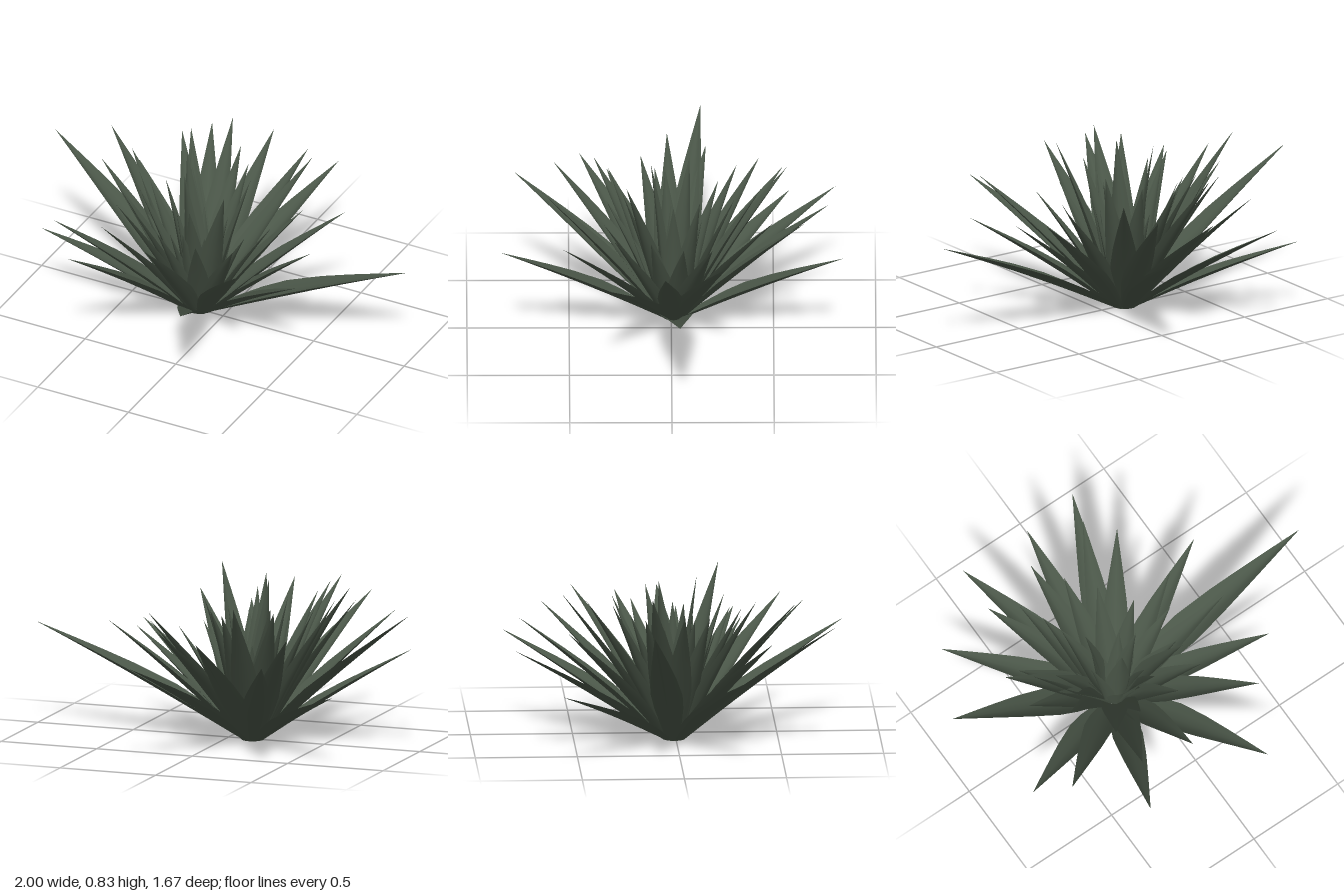
import * as THREE from 'three';

const CX = -0.13, CZ = -0.01, RING = 0.055;

// Leaf tips [x, y, z], outer rosette first
const outerTips = [
  [0.995, 0.515, -0.04], [0.53, 0.60, -0.27], [0.23, 0.70, -0.50], [0.20, 0.485, -0.84],
  [-0.12, 0.615, -0.77], [-0.48, 0.53, -0.805], [-0.24, 0.76, -0.565], [-0.51, 0.62, -0.545],
  [-0.765, 0.36, -0.58], [-1.0, 0.705, -0.145], [-0.69, 0.825, -0.14], [-0.84, 0.44, 0.315],
  [-0.70, 0.60, 0.45], [-0.455, 0.625, 0.77], [-0.37, 0.73, 0.58], [0.20, 0.52, 0.835],
  [-0.105, 0.69, 0.63], [0.355, 0.62, 0.535], [0.57, 0.50, 0.315], [0.13, 0.64, -0.65],
];
const innerTips = [
  [-0.66, 0.73, 0.02], [-0.59, 0.70, -0.17], [0.12, 0.83, 0.22], [-0.245, 0.82, -0.09],
  [-0.16, 0.82, 0.10], [-0.39, 0.74, 0.38], [-0.40, 0.73, -0.43], [-0.13, 0.70, -0.44],
  [-0.02, 0.70, -0.31], [0.08, 0.73, -0.14], [0.34, 0.60, -0.20], [0.50, 0.52, 0.03],
  [0.17, 0.55, 0.10], [0.20, 0.58, 0.28], [-0.06, 0.71, 0.24], [-0.30, 0.72, 0.03],
  [-0.35, 0.70, 0.31], [-0.50, 0.69, 0.15], [-0.29, 0.66, -0.23], [0.0, 0.66, -0.01],
  [-0.42, 0.66, 0.08], [-0.34, 0.72, -0.32], [0.02, 0.58, 0.33], [0.24, 0.55, -0.06],
  [-0.44, 0.62, -0.07], [-0.20, 0.60, 0.32],
];
// Short leaves around the open heart
const youngTips = [
  [-0.12, 0.55, 0.20], [-0.04, 0.50, 0.12], [-0.21, 0.50, 0.16],
  [-0.26, 0.55, 0.0], [-0.18, 0.50, -0.15], [-0.03, 0.50, -0.11],
];

// Outline: [fraction of length, fraction of full half-width]
const outline = [[0, 0.45], [0.1, 0.64], [0.25, 0.92], [0.37, 1], [0.55, 0.8], [0.7, 0.55], [0.85, 0.28], [1, 0]];
const across = [-1, -0.5, 0, 0.5, 1];

// A channelled blade from the crown ring to its tip
function leafGeometry([x, y, z]) {
  const angle = Math.atan2(z - CZ, x - CX);
  const base = new THREE.Vector3(CX + RING * Math.cos(angle), 0, CZ + RING * Math.sin(angle));
  const axis = new THREE.Vector3(x, y, z).sub(base);
  const length = axis.length();
  const side = new THREE.Vector3(-Math.sin(angle), 0, Math.cos(angle));
  const up = side.clone().cross(axis).normalize();
  const halfWidth = 0.022 + 0.052 * length;
  const pos = [], index = [], n = across.length;

  outline.forEach(([t, w], i) => {
    const half = halfWidth * w;
    const arch = 0.01 * length * Math.sin(Math.PI * t);
    for (const a of across) {
      const p = base.clone().addScaledVector(axis, t)
        .addScaledVector(side, a * half)
        .addScaledVector(up, arch + 0.45 * half * a * a);
      pos.push(p.x, Math.max(p.y, 0), p.z);
    }
    if (i === 0) return;
    for (let j = 0; j < n - 1; j++) {
      const a = (i - 1) * n + j, b = a + n;
      index.push(a, a + 1, b);
      if (i < outline.length - 1) index.push(a + 1, b + 1, b);
    }
  });
  const g = new THREE.BufferGeometry();
  g.setAttribute('position', new THREE.Float32BufferAttribute(pos, 3));
  g.setIndex(index);
  g.computeVertexNormals();
  return g;
}

export function createModel() {
  const leafGreen = new THREE.MeshStandardMaterial({ color: 0x4a5648, side: THREE.DoubleSide });
  leafGreen.name = 'darkLeafGreen';
  const plant = new THREE.Group();
  plant.name = 'spikyPlant';

  const addRosette = (name, tips) => {
    const group = new THREE.Group();
    group.name = name;
    tips.forEach((tip, i) => {
      const leaf = new THREE.Mesh(leafGeometry(tip), leafGreen);
      leaf.name = `${name}Leaf${i + 1}`;
      group.add(leaf);
    });
    plant.add(group);
  };
  addRosette('outer', outerTips);
  addRosette('inner', innerTips);
  addRosette('young', youngTips);

  // Open crown where the leaves meet
  const crown = new THREE.Mesh(new THREE.CylinderGeometry(0.06, 0.052, 0.03, 20, 1, true), leafGreen);
  crown.name = 'crown';
  crown.position.set(CX, 0.015, CZ);
  plant.add(crown);
  return plant;
}
